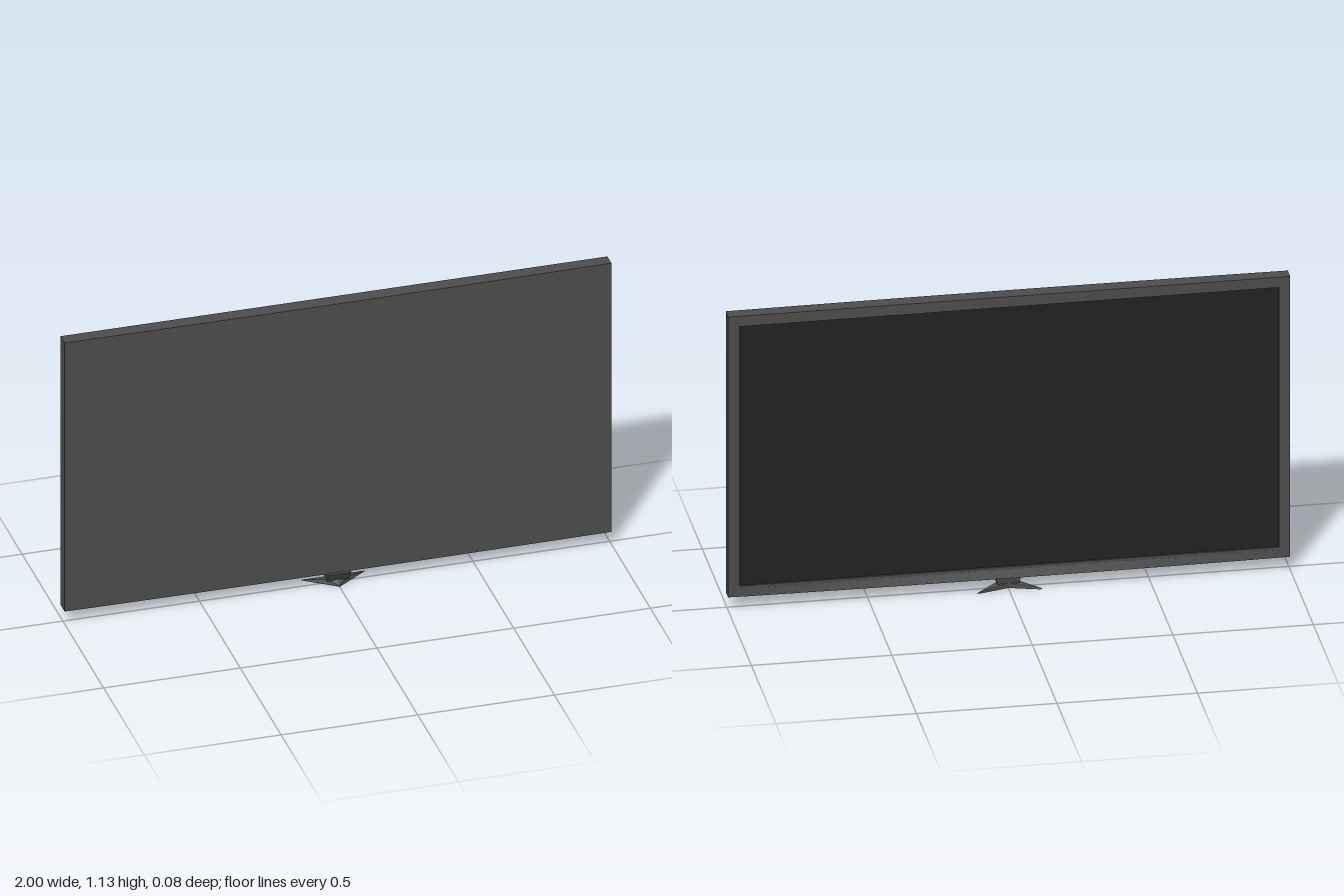
import * as THREE from 'three';
import { ConvexGeometry } from 'three/addons/geometries/ConvexGeometry.js';

const BOTTOM = 0.05, TOP = 1.13, MID = (BOTTOM + TOP) / 2, H = TOP - BOTTOM;
const BACK = -0.028, RECESS = -0.019, FRONT = 0.022, BORDER = 0.04;

export function createModel() {
  const casing = new THREE.MeshStandardMaterial({ color: 0x4d4d4d });
  casing.name = 'casing grey';
  const glass = new THREE.MeshStandardMaterial({ color: 0x222222 });
  glass.name = 'screen black';

  const model = new THREE.Group();
  model.name = 'television';
  const add = (name, geometry, material = casing) => {
    const mesh = new THREE.Mesh(geometry, material);
    mesh.name = name;
    model.add(mesh);
    return mesh;
  };
  // Moves the vertices of a geometry by a rule
  const reshape = (geometry, rule) => {
    const p = geometry.attributes.position, v = new THREE.Vector3();
    for (let i = 0; i < p.count; i++) {
      rule(v.fromBufferAttribute(p, i));
      p.setXYZ(i, v.x, v.y, v.z);
    }
    geometry.computeVertexNormals();
    return geometry;
  };

  // Casing panel, bowed very slightly outward on +z
  const panel = new THREE.BoxGeometry(2, H, FRONT - RECESS, 24, 1, 1);
  panel.translate(0, MID, (FRONT + RECESS) / 2);
  add('casingPanel', reshape(panel, v => {
    if (v.z > 0) v.z += 0.006 * (1 - v.x * v.x);
  }));

  // Raised border around the screen on -z
  const rectangle = (path, inset) => {
    const x = 1 - inset, b = BOTTOM + inset, t = TOP - inset;
    path.moveTo(-x, b).lineTo(x, b).lineTo(x, t).lineTo(-x, t).lineTo(-x, b);
    return path;
  };
  const outline = rectangle(new THREE.Shape(), 0);
  outline.holes.push(rectangle(new THREE.Path(), BORDER));
  const frame = new THREE.ExtrudeGeometry(outline, { depth: RECESS - BACK, bevelEnabled: false });
  add('screenFrame', frame.translate(0, 0, BACK));

  // Recessed screen
  const screen = new THREE.BoxGeometry(2 - 2 * BORDER, H - 2 * BORDER, 0.003);
  add('screen', screen.translate(0, MID, RECESS - 0.001), glass);

  // Wedge along the lower border, deepest in the middle
  const chin = new THREE.BoxGeometry(1.96, 0.03, 0.002, 24, 1, 1);
  chin.translate(0, BOTTOM + 0.015, BACK);
  add('lowerChin', reshape(chin, v => {
    const low = v.y < BOTTOM + 0.01;
    if (v.z < BACK) v.z = BACK - (low ? 0.01 * (1 - v.x * v.x) : 0) - 0.0002;
  }));

  // Flared neck
  const points = list => list.map(p => new THREE.Vector3(...p));
  const neck = [];
  for (const s of [-1, 1]) {
    neck.push([s * 0.045, 0.051, 0.026], [s * 0.045, 0.048, 0.036], [s * 0.045, 0.051, -0.018],
      [s * 0.039, 0.014, 0.018], [s * 0.039, 0.014, -0.01]);
  }
  add('standNeck', new ConvexGeometry(points(neck)));

  // Swept foot, one half per side
  for (const s of [-1, 1]) {
    const half = points([
      [0, 0, 0.042], [0, 0.005, 0.042], [s * 0.115, 0, -0.04], [s * 0.115, 0.003, -0.04],
      [s * 0.105, 0, -0.04], [0, 0, -0.01], [0, 0.02, 0.02], [0, 0.02, -0.01],
      [s * 0.04, 0.018, 0.008], [s * 0.04, 0.016, -0.016],
    ]);
    add(s > 0 ? 'leftFoot' : 'rightFoot', new ConvexGeometry(half));
  }
  return model;
}
